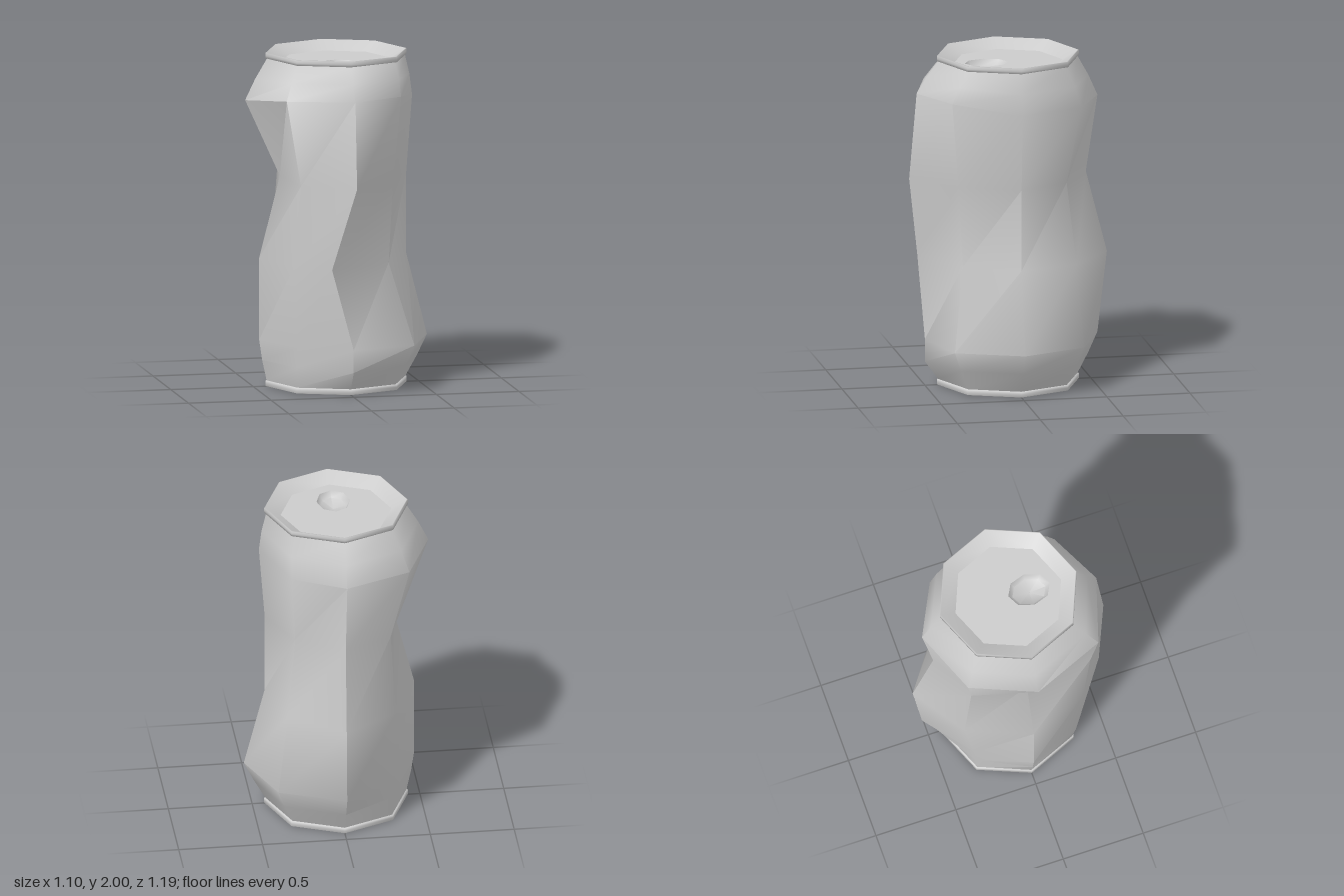
import * as THREE from 'three';
import { toCreasedNormals } from 'three/addons/utils/BufferGeometryUtils.js';

const SIDES = 8;
const metal = new THREE.MeshStandardMaterial({ color: 0xcccccc, side: THREE.DoubleSide });

// Ring order: +x, then turning through +z, -x and -z
const circle = (r, y) => Array.from({ length: SIDES }, (_, k) => {
  const a = (k / SIDES) * Math.PI * 2;
  return [r * Math.cos(a), y, r * Math.sin(a)];
});

// Transition ring between two rings, slightly swollen
const between = (a, b, swell) => a.map((p, k) => {
  const q = b[k];
  return [(p[0] + q[0]) / 2 * swell, (p[1] + q[1]) / 2, (p[2] + q[2]) / 2 * swell];
});

// Skin over a stack of rings, bottom to top, smooth except at sharp folds
function loft(rings) {
  const index = [];
  for (let r = 0; r < rings.length - 1; r++) {
    for (let k = 0; k < SIDES; k++) {
      const n = (k + 1) % SIDES;
      const a = r * SIDES + k, a2 = r * SIDES + n, b = a + SIDES, b2 = a2 + SIDES;
      index.push(a, b, a2, b, b2, a2);
    }
  }
  const g = new THREE.BufferGeometry();
  g.setAttribute('position', new THREE.Float32BufferAttribute(rings.flat(2), 3));
  g.setIndex(index);
  return toCreasedNormals(g, THREE.MathUtils.degToRad(50));
}

export function createModel() {
  const can = new THREE.Group();
  can.name = 'crushedCan';
  const add = (name, geometry) => {
    const mesh = new THREE.Mesh(geometry, metal);
    mesh.name = name;
    can.add(mesh);
    return mesh;
  };

  // Dented body: upper part pushed to one side, lower part to the other
  const level = (y, pts) => pts.map(([x, z]) => [x, y, z]);
  const foot = circle(0.42, 0.035);
  const lower = level(0.28, [[0.55, 0], [0.39, 0.395], [0, 0.5], [-0.305, 0.335],
    [-0.465, 0], [-0.29, -0.31], [0, -0.54], [0.39, -0.385]]);
  const waist = level(0.77, [[0.425, 0], [0.25, 0.32], [-0.135, 0.52], [-0.33, 0.355],
    [-0.465, 0], [-0.31, -0.38], [0.01, -0.595], [0.33, -0.35]]);
  const chest = level(1.26, [[0.425, 0], [0.27, 0.35], [0, 0.595], [-0.3, 0.41],
    [-0.34, 0], [-0.285, -0.33], [0, -0.47], [0.28, -0.3]]);
  const shoulder = level(1.72, [[0.46, 0], [0.31, 0.395], [0, 0.55], [-0.39, 0.43],
    [-0.55, 0], [-0.39, -0.385], [0, -0.54], [0.31, -0.385]]);
  for (const k of [1, 2, 3]) shoulder[k][1] = 1.775;
  const neck = circle(0.415, 1.97);
  const ankle = between(foot, lower, 1.01);
  ankle[2] = [0, 0.145, 0.5];
  add('body', loft([foot, ankle, lower, waist, chest,
    shoulder, between(shoulder, neck, 1.015), neck]));

  // Rims with a sloping inner wall
  const rim = [[0.41, 1.965], [0.428, 1.967], [0.428, 1.982], [0.428, 1.998],
    [0.422, 2], [0.33, 1.945]];
  add('topRim', new THREE.LatheGeometry(rim.map(([r, y]) => new THREE.Vector2(r, y)), SIDES));
  add('bottomRim', new THREE.LatheGeometry(
    rim.map(([r, y]) => new THREE.Vector2(r, 2 - y)).reverse(), SIDES));

  // Lid with an elongated drinking hole
  const opening = (s, y) => circle(1, y).map(([x, , z]) => [0.1 * s * x, y, 0.13 + 0.13 * s * z]);
  const lid = new THREE.Shape(circle(0.33, 0).map(([x, , z]) => new THREE.Vector2(x, -z)));
  lid.holes.push(new THREE.Path(opening(1, 0).map(([x, , z]) => new THREE.Vector2(x, -z))));
  const top = add('lid', new THREE.ShapeGeometry(lid));
  top.rotation.x = -Math.PI / 2;
  top.position.y = 1.945;

  // Sunken hollow below the hole
  add('mouthHollow', loft([opening(1, 1.945), opening(0.8, 1.91), opening(0.01, 1.89)]));

  // Recessed base plate
  const base = add('basePlate', new THREE.CircleGeometry(0.33, SIDES));
  base.rotation.x = Math.PI / 2;
  base.position.y = 0.055;

  return can;
}
